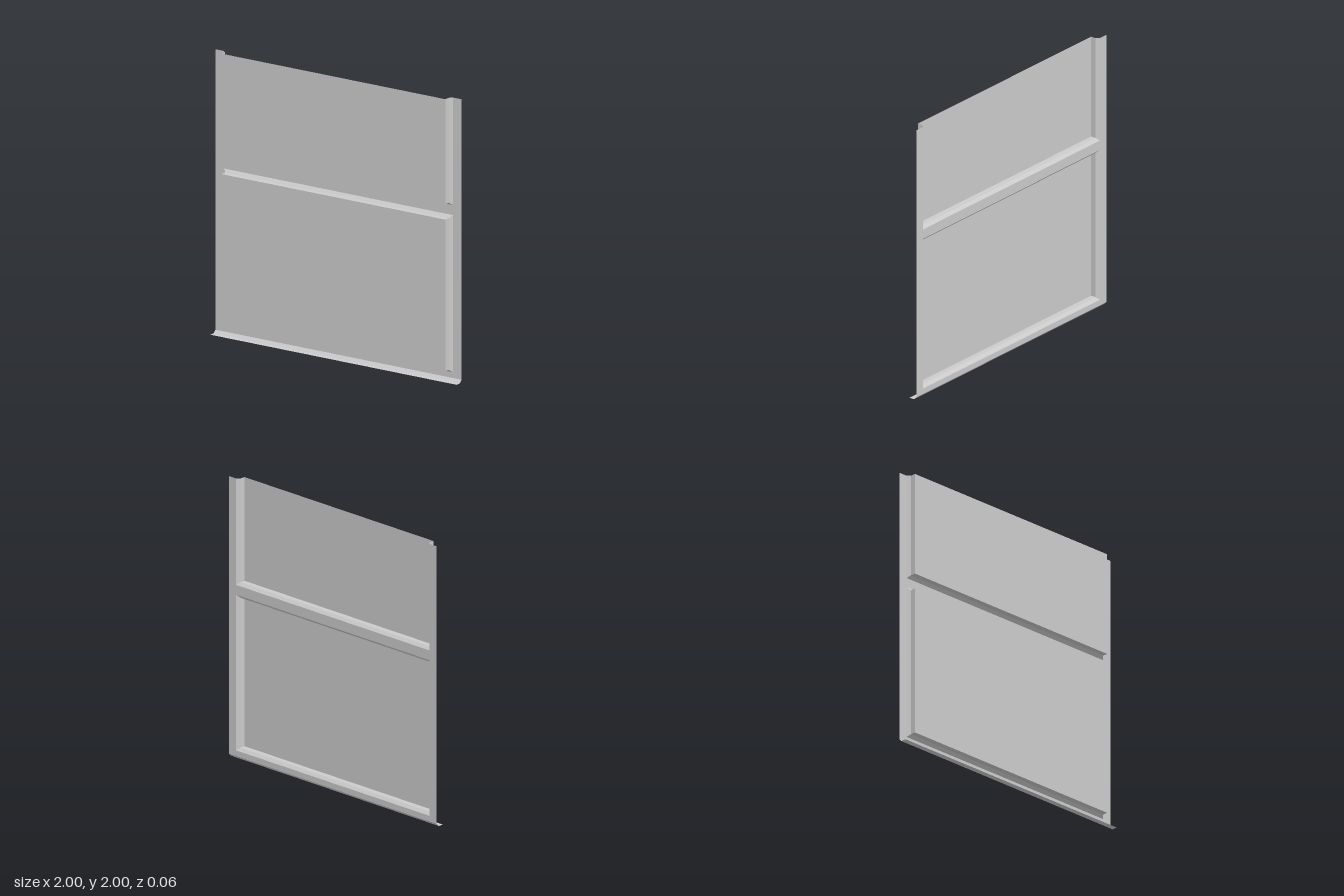
import * as THREE from 'three';

const BACK = -0.03, MID = -0.01, FRONT = 0.03, BEVEL = 0.02;
const X = 0.93; // half width of the panel openings
const material = new THREE.MeshStandardMaterial({ color: 0xcccccc, flatShading: true, side: THREE.DoubleSide });

function addMesh(parent, geometry, name) {
  const mesh = new THREE.Mesh(geometry, material);
  mesh.name = name;
  parent.add(mesh);
}

// Skin a list of equally long cross-sections, each a list of [x, y, z]
function skin(sections) {
  const positions = [];
  for (let i = 0; i < sections.length - 1; i++) {
    for (let j = 0; j < sections[i].length - 1; j++) {
      const a = sections[i][j], b = sections[i][j + 1];
      const c = sections[i + 1][j + 1], d = sections[i + 1][j];
      positions.push(...a, ...b, ...c, ...a, ...c, ...d);
    }
  }
  const geometry = new THREE.BufferGeometry();
  geometry.setAttribute('position', new THREE.Float32BufferAttribute(positions, 3));
  geometry.computeVertexNormals();
  return geometry;
}

// Pressed tray: bevel, straight wall and flat face; an open top has no upper wall
function pressedPanel(name, y0, y1, openTop) {
  const group = new THREE.Group();
  group.name = name;
  const outline = (inset, z) => {
    const x = X - inset, bottom = y0 + inset, top = openTop ? y1 : y1 - inset;
    const points = [[-x, top, z], [-x, bottom, z], [x, bottom, z], [x, top, z]];
    if (!openTop) points.push([-x, top, z]);
    return points;
  };
  addMesh(group, skin([outline(0, BACK), outline(BEVEL, MID), outline(BEVEL, FRONT)]), name + 'Rim');
  const bottom = y0 + BEVEL, top = openTop ? y1 : y1 - BEVEL;
  const face = new THREE.PlaneGeometry(2 * (X - BEVEL), top - bottom);
  face.translate(0, (top + bottom) / 2, FRONT);
  addMesh(group, face, name + 'Face');
  return group;
}

export function createModel() {
  const model = new THREE.Group();
  model.name = 'pressedSheet';

  // Flat back frame with a notch for the upper panel and a hole for the lower one
  const frame = new THREE.Shape([
    [-1, 0.02], [1, 0.02], [1, 2], [X, 2], [X, 1.24], [-X, 1.24], [-X, 2], [-1, 2],
  ].map(([x, y]) => new THREE.Vector2(x, y)));
  frame.holes.push(new THREE.Path([
    [-X, 0.06], [-X, 1.17], [X, 1.17], [X, 0.06],
  ].map(([x, y]) => new THREE.Vector2(x, y))));
  addMesh(model, new THREE.ShapeGeometry(frame).translate(0, 0, BACK), 'frame');

  // Raised panels
  model.add(pressedPanel('lowerPanel', 0.06, 1.17, false));
  model.add(pressedPanel('upperPanel', 1.24, 2, true));

  // Bottom lip folded forward
  const lip = [[0.02, BACK], [0, MID], [0, FRONT]];
  addMesh(model, skin(lip.map(([y, z]) => [[1, y, z], [-1, y, z]])), 'bottomLip');

  return model;
}
